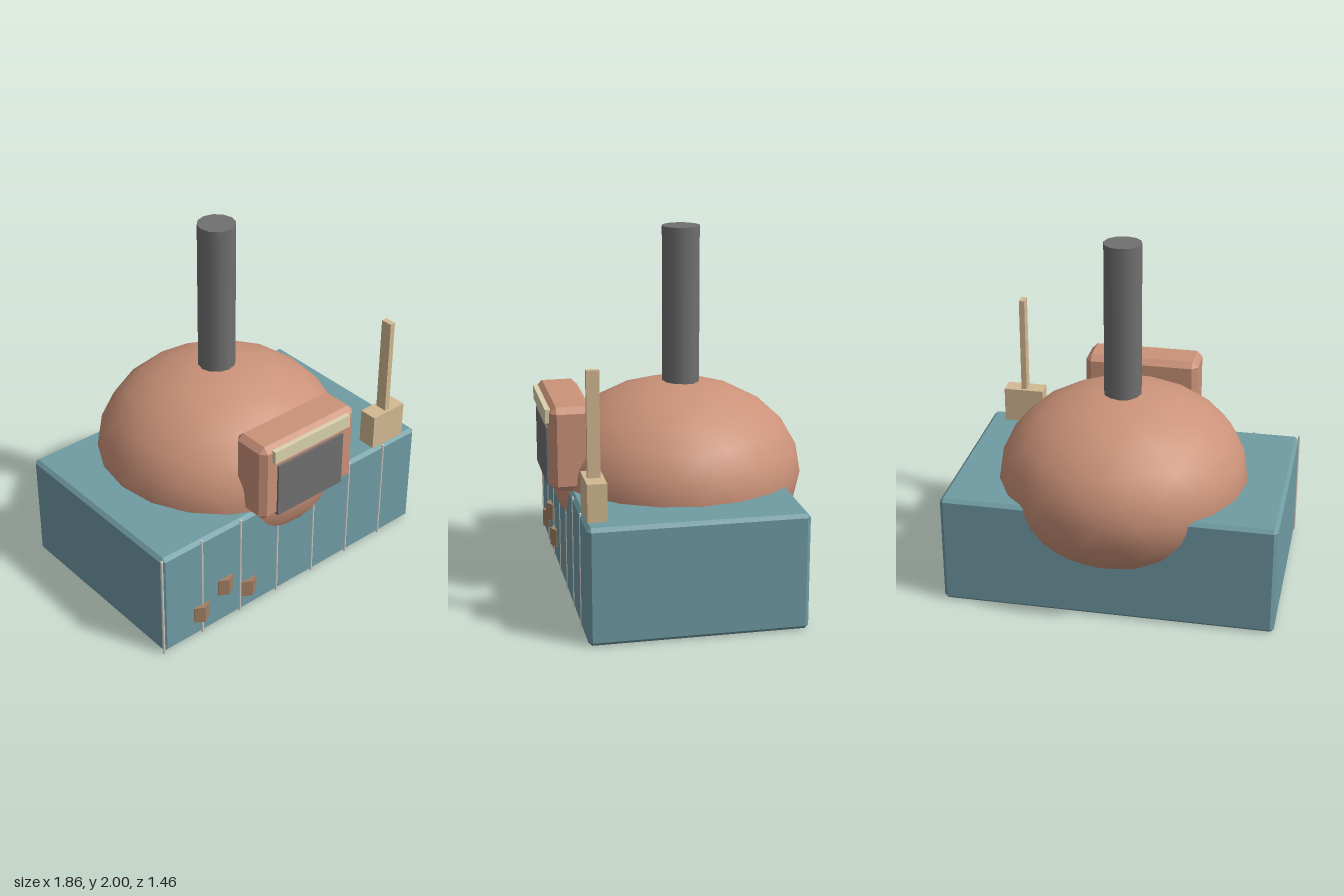
import * as THREE from 'three';
import { ConvexGeometry } from 'three/addons/geometries/ConvexGeometry.js';

const paint = (name, color) => {
  const m = new THREE.MeshStandardMaterial({ color });
  m.name = name;
  return m;
};

// Box between two corners with flat chamfers of size c on every edge
function chamferBox(min, max, c) {
  const pts = [];
  for (let i = 0; i < 8; i++) {
    for (let face = 0; face < 3; face++) {
      const p = [0, 1, 2].map((a) => {
        const inset = a === face ? 0 : c;
        return (i >> a) & 1 ? max[a] - inset : min[a] + inset;
      });
      pts.push(new THREE.Vector3(...p));
    }
  }
  return new ConvexGeometry(pts);
}

// Plain box between two corners
function cornerBox(min, max) {
  const g = new THREE.BoxGeometry(...max.map((v, a) => v - min[a]));
  g.translate(...max.map((v, a) => (v + min[a]) / 2));
  return g;
}

export function createModel() {
  const group = new THREE.Group();
  const teal = paint('teal', 0x6f9ba3);
  const copper = paint('copper', 0xcb9279);
  const grey = paint('dark grey', 0x707070);
  const tan = paint('tan', 0xd3b992);
  const cream = paint('cream', 0xdad1ac);
  const brown = paint('brown', 0xa08064);
  const pale = paint('pale grout', 0xd8d0c8);

  const add = (name, geometry, material) => {
    const mesh = new THREE.Mesh(geometry, material);
    mesh.name = name;
    group.add(mesh);
    return mesh;
  };

  // Counter block
  add('base', chamferBox([-0.927, 0, -0.555], [0.927, 0.635, 0.608], 0.02), teal);

  // Oven dome: a squashed icosphere standing on a vertex
  const ball = new THREE.IcosahedronGeometry(1, 3);
  ball.rotateZ(-Math.atan(2 / (1 + Math.sqrt(5))));
  const dome = add('dome', ball, copper);
  dome.scale.set(0.7, 0.515, 0.7);
  dome.position.set(0, 0.635, -0.03);

  // Chimney
  const flue = new THREE.CylinderGeometry(0.105, 0.105, 1, 12);
  flue.translate(0, 1.5, -0.062);
  add('chimney', flue, grey);

  // Oven mouth with its dark opening and lintel
  add('mouthSurround', chamferBox([-0.332, 0.635, 0.475], [0.332, 1.1, 0.707], 0.033), copper);
  add('mouthOpening', cornerBox([-0.232, 0.65, 0.65], [0.23, 0.97, 0.719]), grey);
  add('lintel', cornerBox([-0.268, 1.005, 0.7], [0.266, 1.08, 0.728]), cream);

  // Small block with an upright paddle
  add('paddleBlock', cornerBox([0.6, 0.63, 0.488], [0.832, 0.838, 0.592]), tan);
  add('paddle', cornerBox([0.7, 0.83, 0.507], [0.732, 1.4, 0.574]), tan);

  // Grout lines on the front
  for (let i = 0; i < 7; i++) {
    const line = new THREE.CylinderGeometry(0.007, 0.007, 0.63, 6);
    line.translate(-0.929 + i * 0.2665, 0.318, 0.606);
    add('groutLine', line, pale);
  }

  // Hexagonal log ends on the front
  for (const [x, y] of [[-0.67, 0.15], [-0.503, 0.25], [-0.335, 0.15]]) {
    const log = new THREE.CylinderGeometry(0.06, 0.06, 0.1, 6).toNonIndexed();
    log.computeVertexNormals();
    log.translate(x, y, 0.582);
    add('log', log, brown);
  }

  return group;
}
